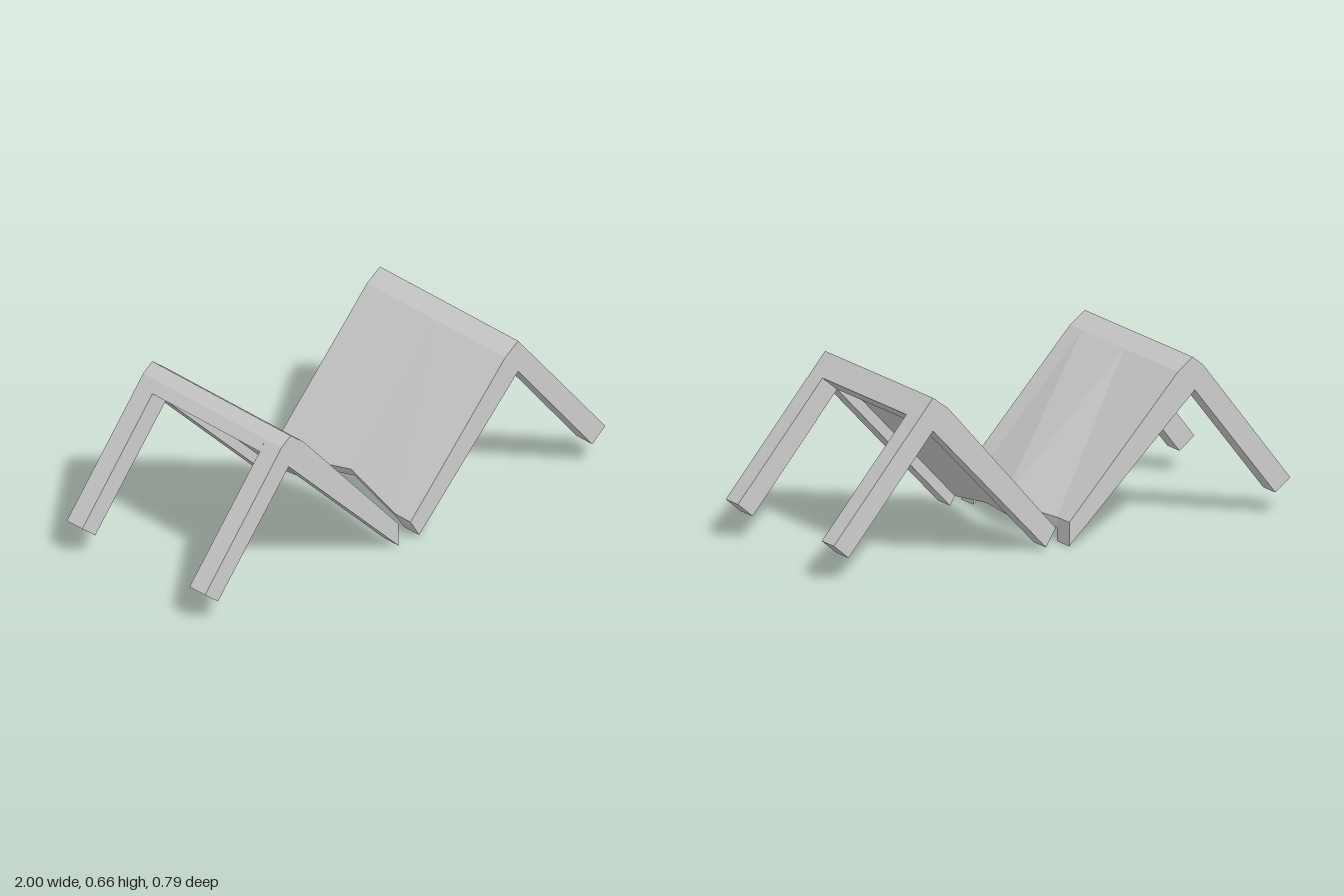
import * as THREE from 'three';

const INNER = 0.305, OUTER = 0.393;
const material = new THREE.MeshStandardMaterial({ color: 0xcccccc, flatShading: true, side: THREE.DoubleSide });

// Extrudes an x-y profile from z0 to z1
function slab(name, points, z0, z1) {
  const shape = new THREE.Shape(points.map(([x, y]) => new THREE.Vector2(x, y)));
  const geometry = new THREE.ExtrudeGeometry(shape, { depth: z1 - z0, bevelEnabled: false });
  geometry.translate(0, 0, z0);
  const mesh = new THREE.Mesh(geometry, material);
  mesh.name = name;
  return mesh;
}

// Joins counter-clockwise x-y cross-sections, each at its own z
function loft(name, sections) {
  const positions = [];
  for (let s = 0; s < sections.length - 1; s++) {
    const a = sections[s], b = sections[s + 1], n = a.points.length;
    for (let i = 0; i < n; i++) {
      const j = (i + 1) % n;
      const a0 = [...a.points[i], a.z], a1 = [...a.points[j], a.z];
      const b0 = [...b.points[i], b.z], b1 = [...b.points[j], b.z];
      positions.push(...a0, ...a1, ...b1, ...a0, ...b1, ...b0);
    }
  }
  const geometry = new THREE.BufferGeometry();
  geometry.setAttribute('position', new THREE.Float32BufferAttribute(positions, 3));
  geometry.computeVertexNormals();
  const mesh = new THREE.Mesh(geometry, material);
  mesh.name = name;
  return mesh;
}

// One folded half: two bent side frames, a ridge beam and a thin panel
function foldedHalf(name, { frame, ridge, edge, middle }) {
  const half = new THREE.Group();
  half.name = name;
  half.add(
    slab('frontFrame', frame, INNER, OUTER),
    slab('backFrame', frame, -OUTER, -INNER),
    slab('ridgeBeam', ridge, -INNER, INNER),
    loft('panel', [
      { z: -INNER, points: edge },
      { z: 0, points: middle },
      { z: INNER, points: edge },
    ]),
  );
  return half;
}

export function createModel() {
  const model = new THREE.Group();
  model.name = 'foldedFrames';

  // Half on -x, whose panel ends in a point
  model.add(foldedHalf('rightHalf', {
    frame: [[-1, 0.133], [-0.935, 0.083], [-0.582, 0.532], [-0.032, 0], [-0.032, 0.093],
      [-0.508, 0.612], [-0.573, 0.661], [-0.618, 0.625]],
    ridge: [[-0.65, 0.585], [-0.582, 0.532], [-0.55, 0.56], [-0.508, 0.612], [-0.573, 0.661], [-0.618, 0.625]],
    edge: [[-0.56, 0.565], [-0.032, 0.053], [-0.032, 0.093], [-0.508, 0.612]],
    middle: [[-0.56, 0.565], [0.022, 0.053], [0.022, 0.093], [-0.508, 0.612]],
  }));

  // Half on +x, whose panel ends in a matching notch
  model.add(foldedHalf('leftHalf', {
    frame: [[1, 0.145], [0.565, 0.661], [0.5, 0.613], [0.027, 0.08], [0.07, 0.01], [0.565, 0.532], [0.935, 0.09]],
    ridge: [[0.565, 0.661], [0.5, 0.613], [0.535, 0.56], [0.565, 0.532], [0.629, 0.585]],
    edge: [[0.545, 0.57], [0.5, 0.613], [0.027, 0.08], [0.048, 0.045]],
    middle: [[0.545, 0.57], [0.5, 0.613], [0.074, 0.131], [0.095, 0.096]],
  }));

  return model;
}
